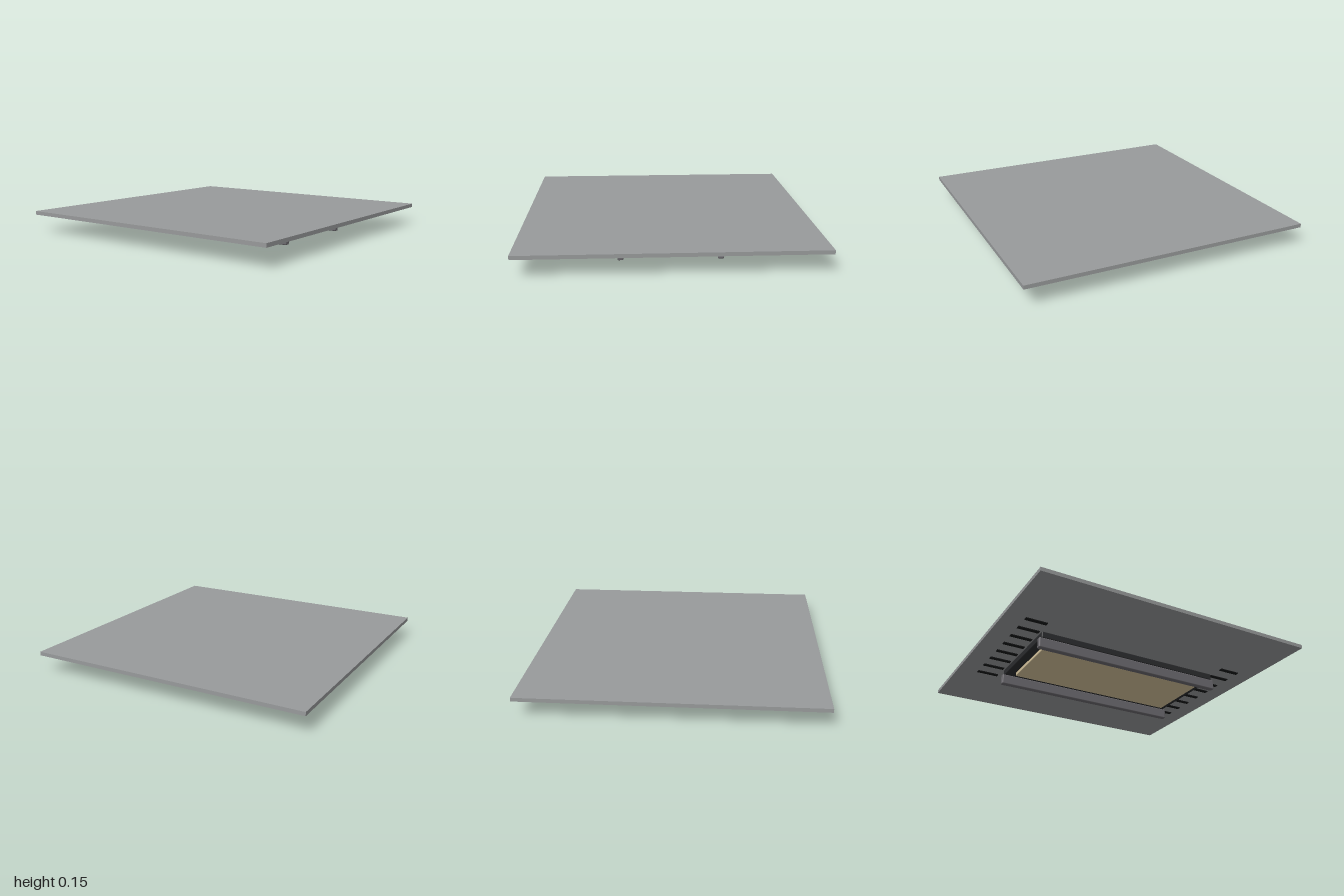
import * as THREE from 'three';
import { RoundedBoxGeometry } from 'three/addons/geometries/RoundedBoxGeometry.js';

const material = (name, color) => {
  const m = new THREE.MeshStandardMaterial({ color });
  m.name = name;
  return m;
};

export function createModel() {
  const group = new THREE.Group();
  group.name = 'ceilingPanelLight';

  const panelGrey = material('panelGrey', 0x989a9b);
  const housingBlack = material('housingBlack', 0x2c2d2f);
  const railGrey = material('railGrey', 0x6d6b70);
  const diffuserCream = material('diffuserCream', 0xd6c49c);
  const ventBlack = material('ventBlack', 0x161718);

  // Box from x/z centre, size and vertical extent; radius 0 keeps sharp edges
  const addBox = (name, mat, x, z, w, d, y0, y1, radius = 0) => {
    const h = y1 - y0;
    const geometry = radius
      ? new RoundedBoxGeometry(w, h, d, 3, radius)
      : new THREE.BoxGeometry(w, h, d);
    const mesh = new THREE.Mesh(geometry, mat);
    mesh.name = name;
    mesh.position.set(x, (y0 + y1) / 2, z);
    group.add(mesh);
  };

  // Square ceiling panel
  addBox('ceilingPanel', panelGrey, 0, 0, 2, 2, 0.124, 0.15);

  // Lamp housing and glowing cover below it
  addBox('housing', housingBlack, 0, 0, 1.39, 0.69, 0.075, 0.124, 0.008);
  addBox('diffuser', diffuserCream, 0, 0, 1.27, 0.505, 0.05, 0.082, 0.006);

  // Long side rails
  for (const side of [-1, 1]) {
    addBox('sideRail', railGrey, 0, side * 0.33, 1.425, 0.04, 0, 0.075, 0.008);
  }

  // Rows of vent slots at both ends
  const slots = 8;
  for (const side of [-1, 1]) {
    for (let i = 0; i < slots; i++) {
      const z = -0.45 + (0.9 * i) / (slots - 1);
      addBox('ventSlot', ventBlack, side * 0.783, z, 0.155, 0.03, 0.118, 0.125);
    }
  }

  return group;
}
